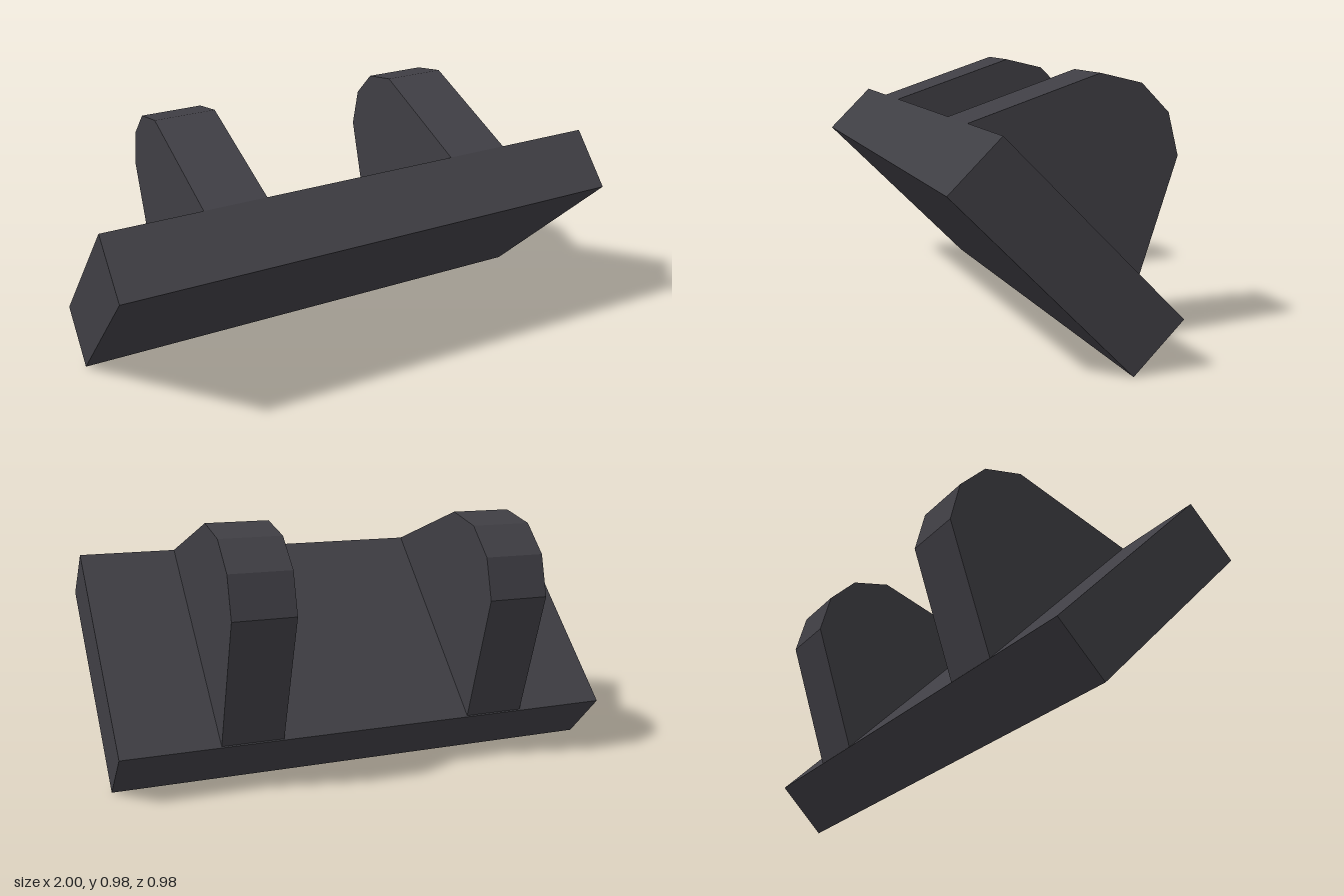
import * as THREE from 'three';

// Extrude a [z, y] side profile across x, centred on x = 0
function sideExtrude(profile, width) {
  const shape = new THREE.Shape(profile.map(([z, y]) => new THREE.Vector2(z, y)));
  const geometry = new THREE.ExtrudeGeometry(shape, { depth: width, bevelEnabled: false });
  geometry.translate(0, 0, -width / 2);
  geometry.rotateY(-Math.PI / 2);
  return geometry;
}

export function createModel() {
  const group = new THREE.Group();
  group.name = 'mountingBracket';
  const darkGrey = new THREE.MeshStandardMaterial({ color: 0x3f3e44, flatShading: true });
  darkGrey.name = 'dark grey';

  // Tilted base plate
  const plate = new THREE.Mesh(
    sideExtrude([[-0.15, 0], [0.489, 0.643], [0.308, 0.822], [-0.331, 0.181]], 2),
    darkGrey
  );
  plate.name = 'basePlate';
  group.add(plate);

  // Pair of tapered lugs with rounded ends, standing on the plate
  const lugGeometry = sideExtrude([
    [0.308, 0.822], [-0.18, 0.983], [-0.34, 0.945],
    [-0.448, 0.837], [-0.489, 0.678], [-0.327, 0.185]
  ].reverse(), 0.241);
  for (const [name, side] of [['leftLug', 1], ['rightLug', -1]]) {
    const lug = new THREE.Mesh(lugGeometry, darkGrey);
    lug.name = name;
    lug.position.x = side * 0.506;
    group.add(lug);
  }
  return group;
}
